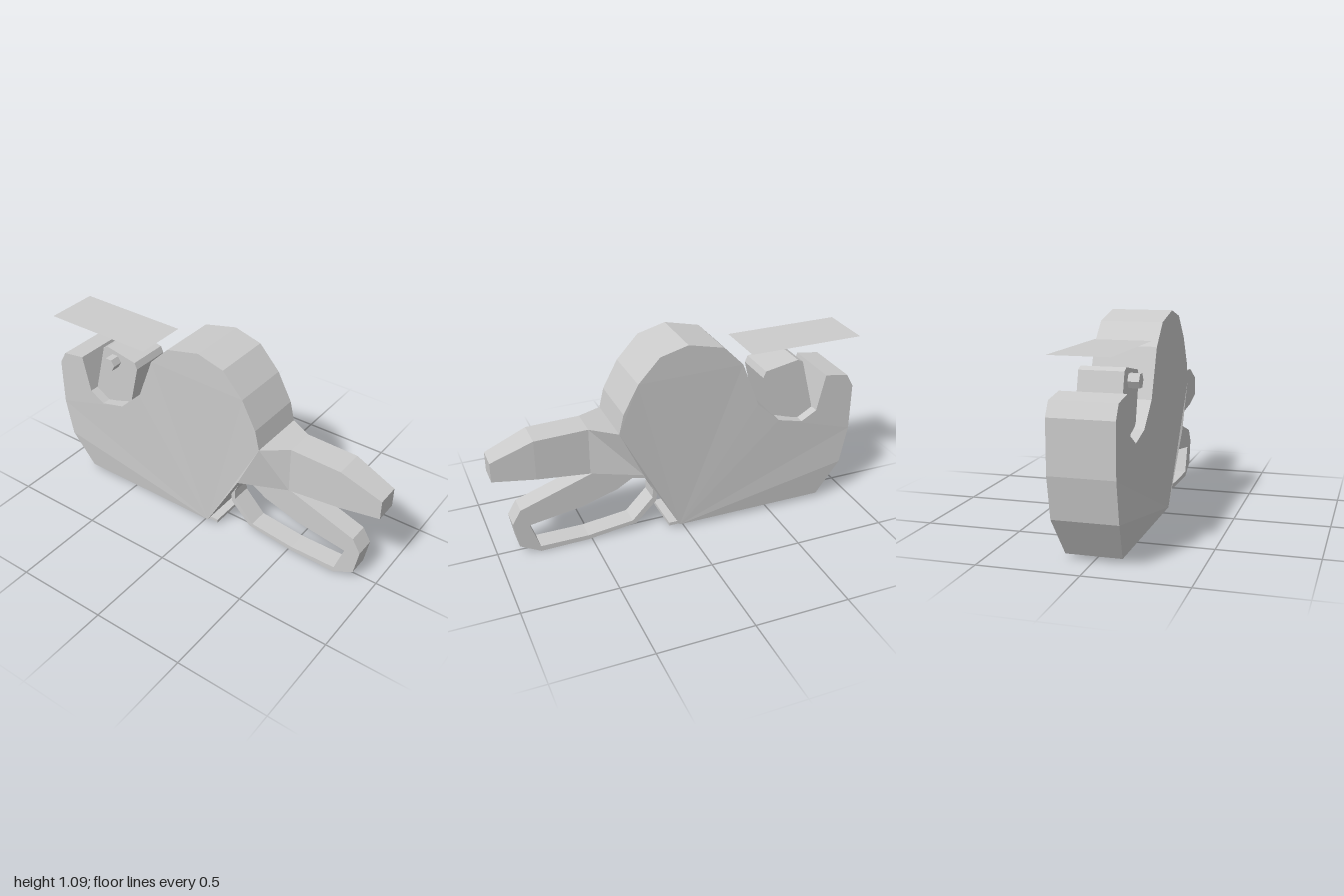
import * as THREE from 'three';

const grey = new THREE.MeshStandardMaterial({ color: 0xcccccc, flatShading: true });
const greyDouble = new THREE.MeshStandardMaterial({ color: 0xcccccc, flatShading: true, side: THREE.DoubleSide });

const toVectors = (pts) => pts.map(([z, y]) => new THREE.Vector2(z, y));

// Extrudes a side profile of [z, y] points across x, centred on x = 0
function sideExtrude(profile, width, hole) {
  const shape = new THREE.Shape(toVectors(profile));
  if (hole) shape.holes.push(new THREE.Path(toVectors(hole)));
  const geo = new THREE.ExtrudeGeometry(shape, { depth: width, bevelEnabled: false });
  return geo.translate(0, 0, -width / 2).rotateY(-Math.PI / 2);
}

// Joins rectangular sections { w, top: [z, y], bottom: [z, y] } running toward +z
function loft(sections) {
  const pos = [], idx = [];
  for (const { w, top, bottom } of sections) {
    pos.push(-w, bottom[1], bottom[0], w, bottom[1], bottom[0]);
    pos.push(w, top[1], top[0], -w, top[1], top[0]);
  }
  for (let s = 0; s < sections.length - 1; s++) {
    for (let i = 0; i < 4; i++) {
      const a = s * 4 + i, b = s * 4 + (i + 1) % 4;
      idx.push(a, b, b + 4, a, b + 4, a + 4);
    }
  }
  const e = (sections.length - 1) * 4;
  idx.push(e, e + 1, e + 2, e, e + 2, e + 3);
  const geo = new THREE.BufferGeometry();
  geo.setAttribute('position', new THREE.Float32BufferAttribute(pos, 3));
  geo.setIndex(idx);
  const flat = geo.toNonIndexed();
  flat.computeVertexNormals();
  return flat;
}

export function createModel() {
  const model = new THREE.Group();
  const add = (name, geo, material = grey) => {
    const mesh = new THREE.Mesh(geo, material);
    mesh.name = name;
    model.add(mesh);
    return mesh;
  };

  // Main housing: round roll cover, notch for the lever and upright rear
  const body = sideExtrude([
    [0.03, 0.025], [0.24, 0.40], [0.365, 0.665], [0.34, 0.77], [0.26, 0.92], [0.145, 1.045],
    [-0.005, 1.085], [-0.195, 1.04], [-0.305, 0.93], [-0.40, 0.685], [-0.53, 0.565],
    [-0.67, 0.53], [-0.755, 0.58], [-0.80, 0.78], [-0.93, 0.76], [-0.97, 0.69],
    [-0.97, 0.43], [-0.93, 0.22], [-0.81, 0.025],
  ], 0.32);
  // Narrow the housing at its bottom edge
  const p = body.attributes.position;
  for (let i = 0; i < p.count; i++) {
    if (p.getY(i) < 0.1) p.setX(i, p.getX(i) * 0.86);
  }
  body.computeVertexNormals();
  add('body', body);

  // Tapered grip
  add('handle', loft([
    { w: 0.16, top: [0.365, 0.665], bottom: [0.24, 0.40] },
    { w: 0.08, top: [0.50, 0.68], bottom: [0.50, 0.425] },
    { w: 0.08, top: [0.78, 0.672], bottom: [0.78, 0.455] },
    { w: 0.062, top: [1.0, 0.585], bottom: [1.0, 0.48] },
  ]));

  // Squeeze trigger: closed loop below the grip
  add('trigger', sideExtrude([
    [0.15, 0.40], [0.24, 0.42], [0.45, 0.42], [0.87, 0.275], [0.915, 0.20], [0.89, 0.06],
    [0.78, 0], [0.52, 0.005], [0.25, 0.04], [0.135, 0.155], [0.125, 0.22],
  ], 0.11, [
    [0.35, 0.28], [0.265, 0.33], [0.185, 0.31], [0.152, 0.23], [0.155, 0.18],
    [0.27, 0.06], [0.52, 0.03], [0.78, 0.03], [0.83, 0.175], [0.545, 0.22],
  ]));

  // Lever block standing in the notch
  add('lever', sideExtrude([
    [-0.45, 0.805], [-0.465, 0.84], [-0.65, 0.875], [-0.68, 0.86],
    [-0.755, 0.575], [-0.67, 0.525], [-0.505, 0.58],
  ], 0.22));

  // Small hexagonal pivot on the lever's right side
  const knob = add('knob', new THREE.CylinderGeometry(0.038, 0.038, 0.09, 6).rotateZ(Math.PI / 2));
  knob.position.set(-0.12, 0.808, -0.6);

  // Sole plate under the housing
  const sole = add('solePlate', new THREE.BoxGeometry(0.24, 0.018, 0.795));
  sole.position.set(0, 0.029, -0.3125);

  // Thin flat sheet above the rear
  const sheet = add('topSheet', new THREE.PlaneGeometry(0.29, 0.635).rotateX(-Math.PI / 2), greyDouble);
  sheet.position.set(-0.005, 0.965, -0.6825);

  return model;
}
